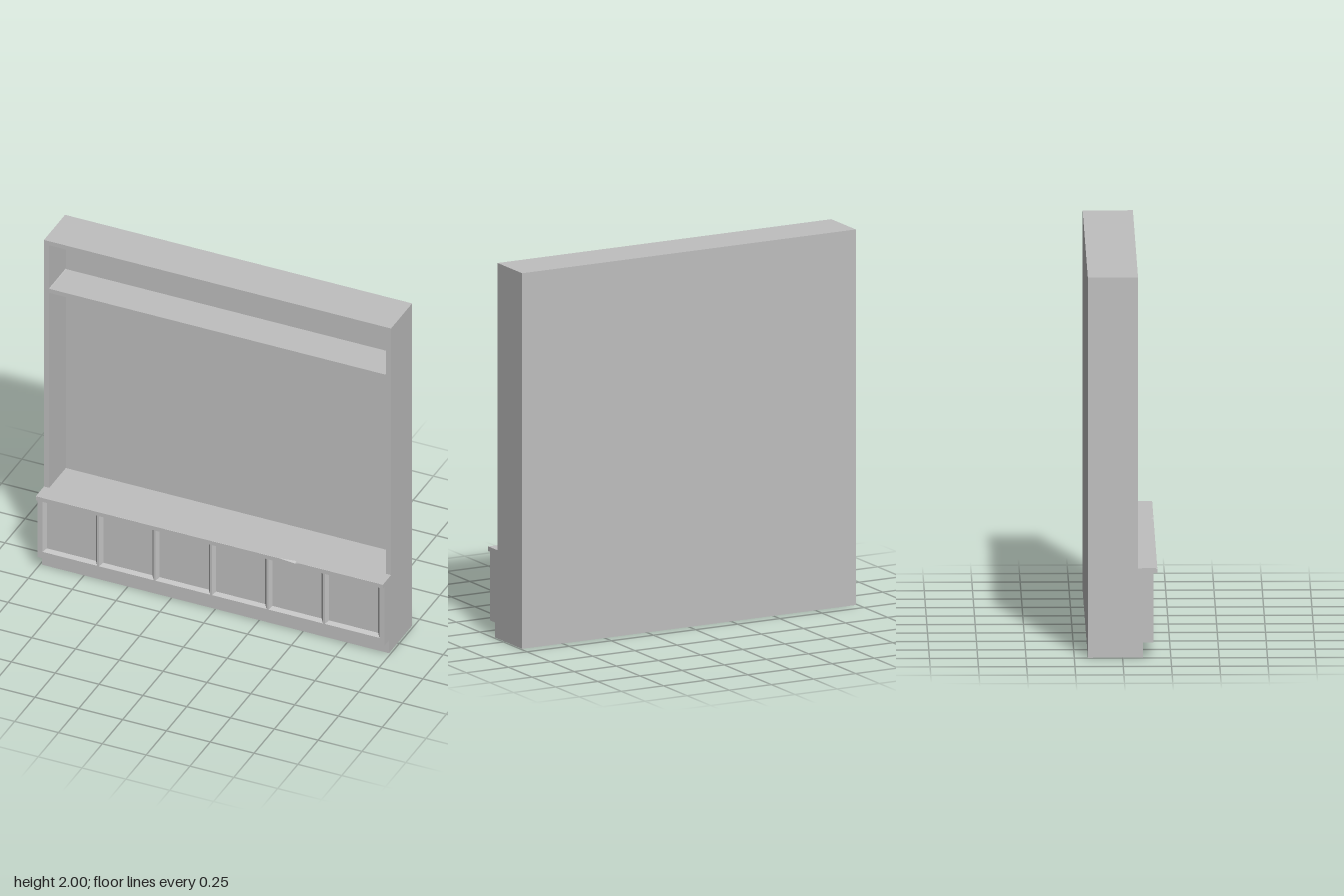
import * as THREE from 'three';

const HALF = 0.99;      // half width of the unit
const BACK = -0.18;     // rear plane
const RECESS = -0.125;  // rear of the open niches
const FRONT = 0.08;     // front of the upper frame
const DOOR = 0.16;      // front of the cabinet doors
const SINK = 0.018;     // depth of the door panels

const grey = new THREE.MeshStandardMaterial({ color: 0xbfbfbf });
grey.name = 'paintedGrey';

function add(group, name, geometry) {
  const mesh = new THREE.Mesh(geometry, grey);
  mesh.name = name;
  group.add(mesh);
  return mesh;
}

// Box given by its limits, spanning the full width
function slab(y0, y1, z0, z1) {
  return new THREE.BoxGeometry(2 * HALF, y1 - y0, z1 - z0)
    .translate(0, (y0 + y1) / 2, (z0 + z1) / 2);
}

// Rectangle outline with slightly softened corners
function rect(path, x0, y0, x1, y1, r) {
  if (!r) {
    path.moveTo(x0, y0).lineTo(x1, y0).lineTo(x1, y1).lineTo(x0, y1).closePath();
    return path;
  }
  path.moveTo(x0 + r, y0).lineTo(x1 - r, y0).lineTo(x1, y0 + r).lineTo(x1, y1 - r);
  path.lineTo(x1 - r, y1).lineTo(x0 + r, y1).lineTo(x0, y1 - r).lineTo(x0, y0 + r).closePath();
  return path;
}

// Flat frame with openings, extruded between two depths
function frame(outer, holes, z0, z1, r) {
  const shape = rect(new THREE.Shape(), ...outer, 0);
  for (const h of holes) shape.holes.push(rect(new THREE.Path(), ...h, r));
  return new THREE.ExtrudeGeometry(shape, { depth: z1 - z0, bevelEnabled: false }).translate(0, 0, z0);
}

// Four sloping faces leading from a door frame down to its sunken panel
function bevel([x0, y0, x1, y1], w) {
  const outer = [[x0, y0], [x1, y0], [x1, y1], [x0, y1]].map(p => [...p, DOOR]);
  const inner = [[x0 + w, y0 + w], [x1 - w, y0 + w], [x1 - w, y1 - w], [x0 + w, y1 - w]]
    .map(p => [...p, DOOR - SINK]);
  const pos = [];
  for (let i = 0; i < 4; i++) {
    const j = (i + 1) % 4;
    for (const v of [outer[i], outer[j], inner[j], outer[i], inner[j], inner[i]]) pos.push(...v);
  }
  return fromTriangles(pos);
}

function fromTriangles(pos) {
  const g = new THREE.BufferGeometry();
  g.setAttribute('position', new THREE.Float32BufferAttribute(pos, 3));
  g.computeVertexNormals();
  return g;
}

// Counter slab lofted along x; each station is [x, size of edge chip]
function counter(y0, y1, z0, z1) {
  const stations = [[-HALF, 0.008], [-0.98, 0.001], [0.4, 0.001], [0.49, 0.014], [0.51, 0.001], [HALF, 0.001]];
  const rings = stations.map(([x, c]) => [
    [x, y0, z0], [x, y0, z1], [x, y1 - c * 0.6, z1], [x, y1, z1 - c], [x, y1, z0],
  ]);
  const pos = [];
  const tri = (...vs) => vs.forEach(v => pos.push(...v));
  for (let s = 0; s < rings.length - 1; s++) {
    const a = rings[s], b = rings[s + 1];
    for (let i = 0; i < 5; i++) {
      const j = (i + 1) % 5;
      tri(a[i], b[i], b[j]);
      tri(a[i], b[j], a[j]);
    }
  }
  const first = rings[0], last = rings[rings.length - 1];
  for (let i = 1; i < 4; i++) {
    tri(first[0], first[i], first[i + 1]);
    tri(last[0], last[i + 1], last[i]);
  }
  return fromTriangles(pos);
}

export function createModel() {
  const model = new THREE.Group();
  model.name = 'wallUnit';

  // Upper carcass: back board and face frame with two niches
  add(model, 'backBoard', slab(0.445, 2, BACK, RECESS));
  add(model, 'nicheFrame', frame(
    [-HALF, 0.45, HALF, 2],
    [[-0.96, 1.705, 0.96, 1.975], [-0.96, 0.455, 0.96, 1.68]],
    RECESS, FRONT, 0.004));

  // Counter with a small chip in its front edge
  add(model, 'counter', counter(0.445, 0.47, RECESS, 0.18));

  // Lower cabinet and plinth
  add(model, 'plinth', slab(0, 0.08, BACK, 0.105));
  add(model, 'cabinetBody', slab(0.08, 0.445, BACK, DOOR - SINK));

  // Six sunken door panels
  const pitch = 0.322, halfPanel = 0.156;
  const panels = [];
  for (let i = 0; i < 6; i++) {
    const x = (i - 2.5) * pitch;
    panels.push([x - halfPanel, 0.12, x + halfPanel, 0.435]);
  }
  add(model, 'doorFrame', frame([-HALF, 0.08, HALF, 0.445], panels, DOOR - SINK, DOOR, 0));
  panels.forEach((p, i) => add(model, 'panelBevel' + (i + 1), bevel(p, 0.016)));

  return model;
}
